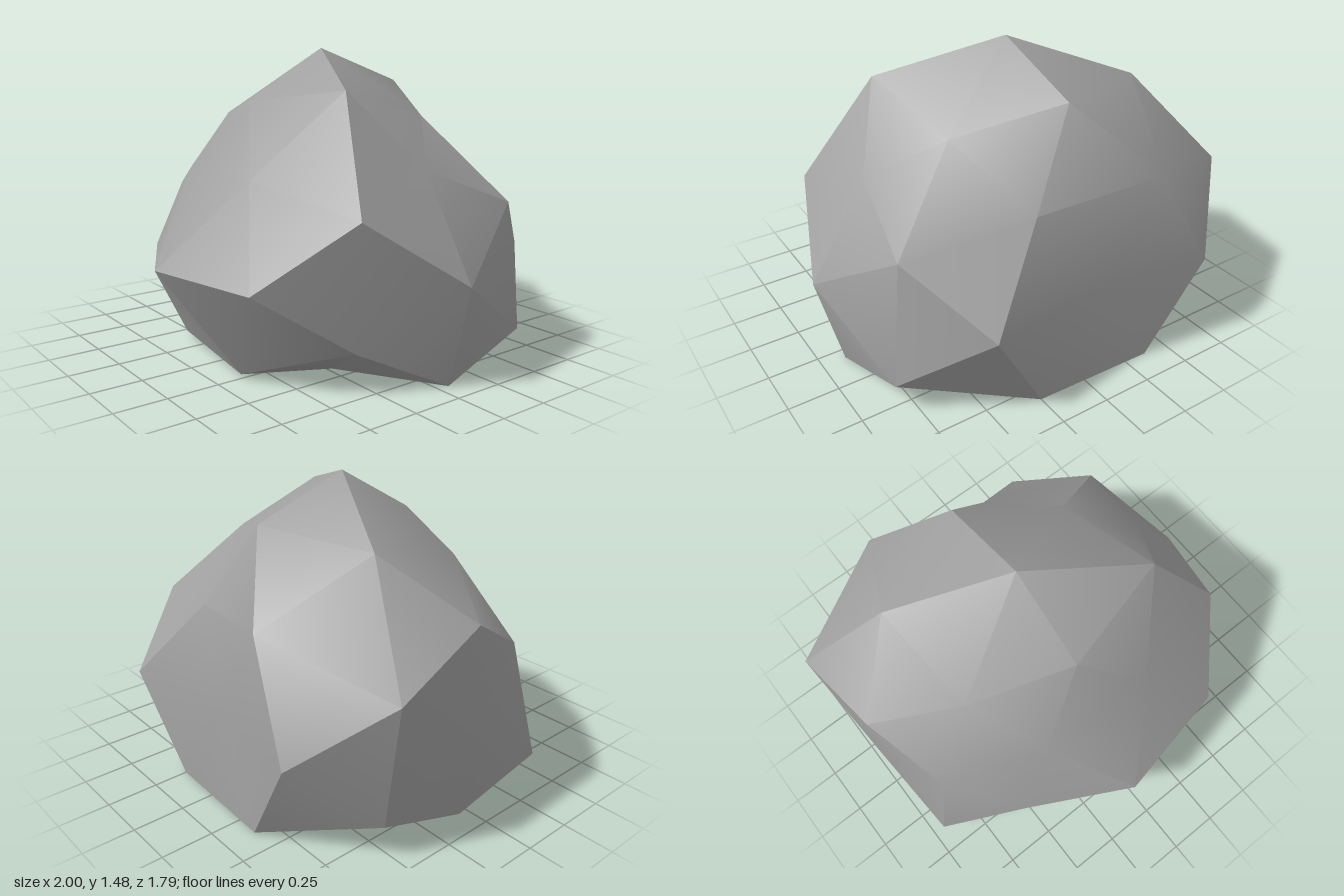
import * as THREE from 'three';
import { toCreasedNormals } from 'three/addons/utils/BufferGeometryUtils.js';

// Chiselled corners of the boulder; the flat underside follows a rule instead.
const CORNERS = [
  // crown
  [-0.06, 1.48, -0.06], [0.5, 1.3, 0.23], [0.41, 1.16, -0.31], [-0.06, 1.31, -0.55],
  [-0.06, 1.23, 0.37], [-0.55, 1.14, 0.19], [-0.6, 1.27, -0.35],
  // shoulders
  [0.82, 0.79, 0.4], [0.71, 0.95, -0.06], [0.79, 0.77, -0.52], [0.2, 0.89, -0.69],
  [-0.4, 0.98, -0.83], [-1, 0.8, -0.57], [-0.94, 0.98, -0.06], [-0.82, 0.74, 0.34],
  [-0.35, 0.9, 0.53], [0.23, 0.9, 0.56],
  // waist
  [1, 0.48, -0.06], [0.55, 0.48, 0.77], [-0.06, 0.48, 0.89], [-0.56, 0.48, 0.63],
  [-0.97, 0.48, -0.06], [-0.66, 0.48, -0.9], [-0.06, 0.48, -0.8], [0.53, 0.48, -0.89],
  // foot
  [0.88, 0, -0.06], [0.74, 0.2, 0.36], [0.25, 0.02, 0.63], [-0.35, 0.05, 0.58],
  [-0.94, 0.17, 0.4], [-0.89, 0.01, -0.06], [-0.9, 0.18, -0.55], [-0.37, 0, -0.85],
  [0.25, 0, -0.83], [0.85, 0.16, -0.55],
].map((p) => new THREE.Vector3(...p));

const CENTRE = new THREE.Vector3(-0.06, 0.48, -0.06);

// Moves a sphere direction to its corner, or presses it flat on the ground.
function chisel(dir) {
  if (dir.y < -0.7) {
    const p = dir.clone().multiplyScalar(0.93).add(CENTRE);
    p.y = 0;
    return p;
  }
  let best = CORNERS[0];
  let bestDot = -2;
  for (const corner of CORNERS) {
    const dot = corner.clone().sub(CENTRE).normalize().dot(dir);
    if (dot > bestDot) {
      bestDot = dot;
      best = corner;
    }
  }
  return best;
}

export function createModel() {
  const group = new THREE.Group();
  group.name = 'boulder';

  // Once-divided icosahedron, turned so its edges lie on the axes
  const geometry = new THREE.IcosahedronGeometry(1, 1).rotateY(Math.PI / 2);
  const position = geometry.attributes.position;
  const dir = new THREE.Vector3();
  for (let i = 0; i < position.count; i++) {
    const p = chisel(dir.fromBufferAttribute(position, i).normalize());
    position.setXYZ(i, p.x, p.y, p.z);
  }
  geometry.deleteAttribute('uv');

  const stone = new THREE.MeshStandardMaterial({ color: 0xa0a0a0 });
  stone.name = 'stone grey';
  const rock = new THREE.Mesh(toCreasedNormals(geometry, Math.PI / 6), stone);
  rock.name = 'rock';
  group.add(rock);
  return group;
}
